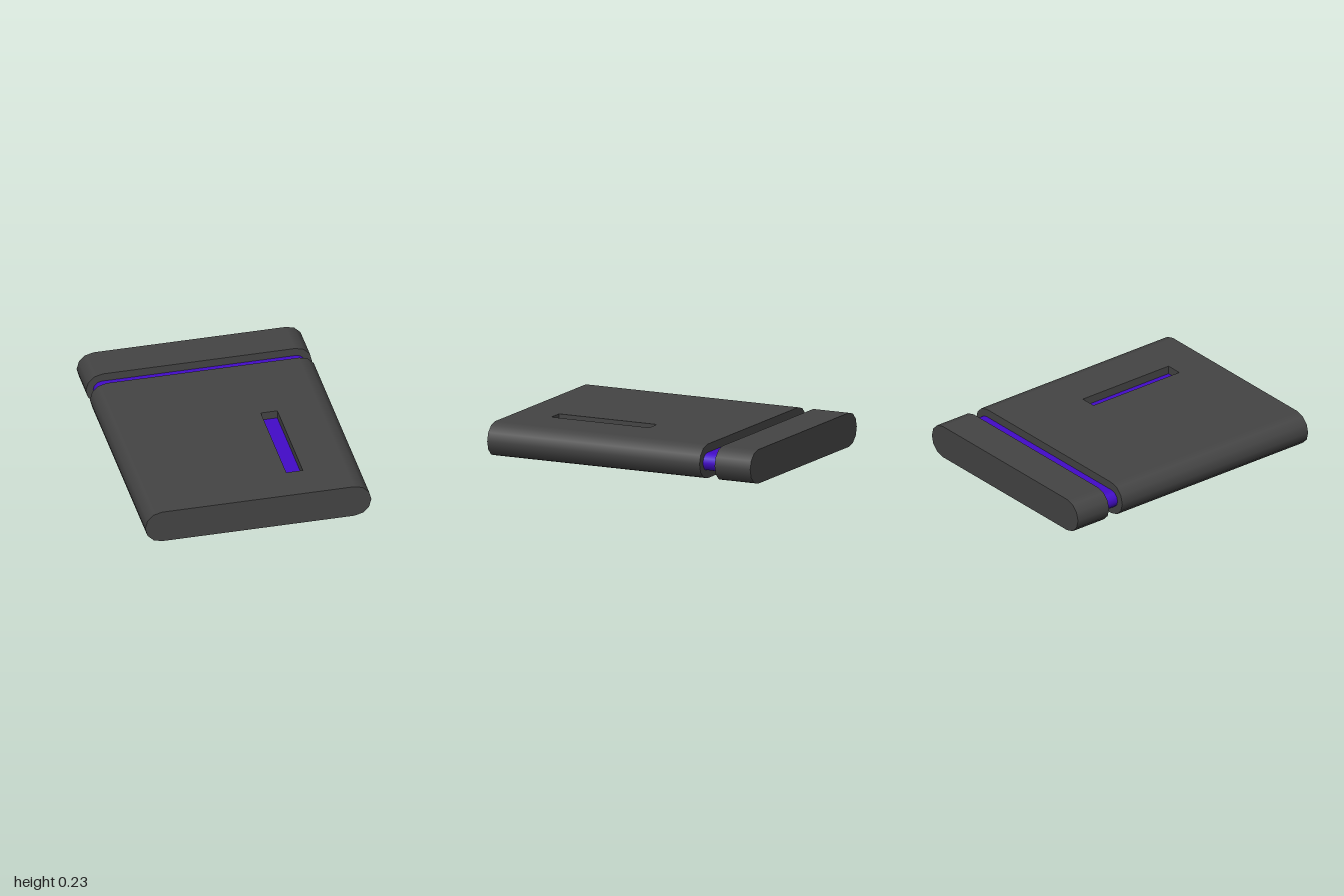
import * as THREE from 'three';

const HEIGHT = 0.235, R = HEIGHT / 2, FLAT = 0.668; // pill section: corner radius, half width of the flat
const CORE_R = 0.06, CORE_FLAT = 0.675;
const SLOT = { x0: 0.26, x1: 0.375, z0: -0.02, z1: 0.725 };

// Pill cross-section, clockwise from the top right edge to the top left edge
function pill(flat, r) {
  const points = [];
  for (const side of [1, -1]) {
    for (let i = 0; i <= 6; i++) {
      const a = Math.PI / 2 - (i * Math.PI) / 6 - (side < 0 ? Math.PI : 0);
      const nx = Math.cos(a), ny = Math.sin(a);
      points.push({ x: side * flat + r * nx, y: R + r * ny, nx, ny });
    }
  }
  return points;
}

// Smooth wall that carries the section from z0 to z1
function wall(section, z0, z1, closed) {
  const pos = [], nor = [], idx = [], n = section.length;
  for (const p of section) {
    pos.push(p.x, p.y, z0, p.x, p.y, z1);
    nor.push(p.nx, p.ny, 0, p.nx, p.ny, 0);
  }
  for (let i = 0; i < (closed ? n : n - 1); i++) {
    const a = 2 * i, b = 2 * ((i + 1) % n);
    idx.push(a, a + 1, b, b, a + 1, b + 1);
  }
  const g = new THREE.BufferGeometry();
  g.setAttribute('position', new THREE.Float32BufferAttribute(pos, 3));
  g.setAttribute('normal', new THREE.Float32BufferAttribute(nor, 3));
  g.setIndex(idx);
  return g;
}

function rectangle(Type, x0, x1, y0, y1) {
  return new Type([[x0, y0], [x1, y0], [x1, y1], [x0, y1]].map(([x, y]) => new THREE.Vector2(x, y)));
}

export function createModel() {
  const model = new THREE.Group();
  const dark = new THREE.MeshStandardMaterial({ color: 0x444444 });
  const purple = new THREE.MeshStandardMaterial({ color: 0x430bc9 });
  const slotMaterial = new THREE.MeshStandardMaterial({ color: 0x444444, side: THREE.BackSide, flatShading: true });

  const add = (parent, name, geometry, material) => {
    const mesh = new THREE.Mesh(geometry, material);
    mesh.name = name;
    parent.add(mesh);
    return mesh;
  };

  // Wall with a flat cap at each end
  const block = (name, section, z0, z1, material, closed = true) => {
    const group = new THREE.Group();
    group.name = name;
    add(group, name + 'Wall', wall(section, z0, z1, closed), material);
    const cap = new THREE.ShapeGeometry(new THREE.Shape(section.map(p => new THREE.Vector2(p.x, p.y))));
    add(group, name + 'FrontCap', cap, material).position.z = z1;
    const back = add(group, name + 'BackCap', cap, material);
    back.position.z = z0;
    back.rotation.y = Math.PI;
    model.add(group);
    return group;
  };

  // Cap piece, and the inner core seen in the gap and through the slot
  const outer = pill(FLAT, R);
  block('endPiece', outer, -1, -0.73, dark);
  block('innerCore', pill(CORE_FLAT, CORE_R), -0.9, 0.9, purple);

  // Main body, its top left open for the slotted plate
  const body = block('body', outer, -0.615, 1, dark, false);
  const top = rectangle(THREE.Shape, -FLAT, FLAT, -1, 0.615);
  top.holes.push(rectangle(THREE.Path, SLOT.x0, SLOT.x1, -SLOT.z1, -SLOT.z0));
  const plate = new THREE.ShapeGeometry(top).rotateX(-Math.PI / 2);
  add(body, 'slottedTop', plate, dark).position.y = HEIGHT;

  // Slot walls down to the core
  const depth = R - CORE_R;
  const slot = new THREE.CylinderGeometry(Math.SQRT1_2, Math.SQRT1_2, depth, 4, 1, true, Math.PI / 4);
  slot.scale(SLOT.x1 - SLOT.x0, 1, SLOT.z1 - SLOT.z0);
  add(body, 'slotWalls', slot, slotMaterial).position.set(
    (SLOT.x0 + SLOT.x1) / 2, HEIGHT - depth / 2, (SLOT.z0 + SLOT.z1) / 2);

  return model;
}
